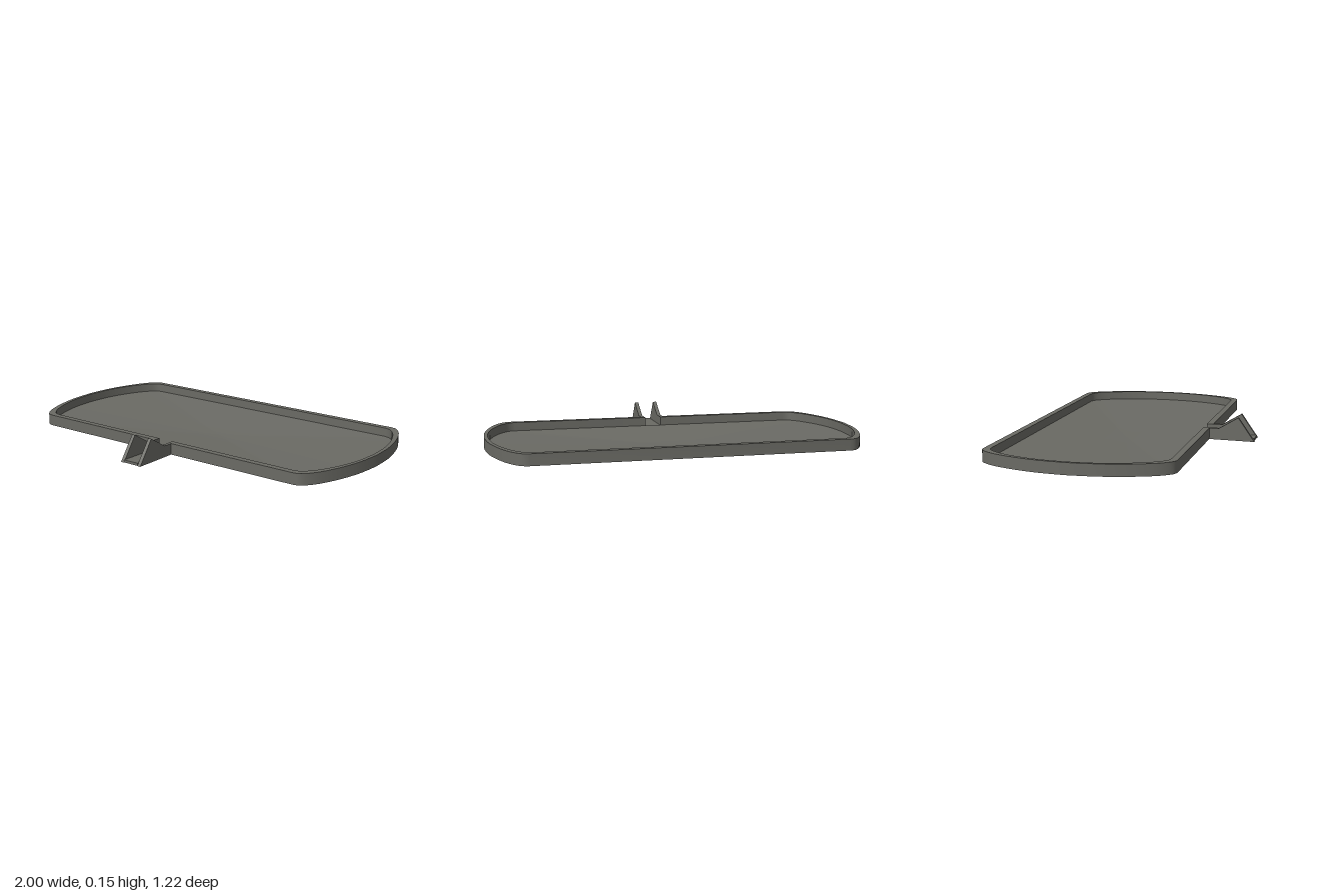
import * as THREE from 'three';
import { toCreasedNormals } from 'three/addons/utils/BufferGeometryUtils.js';

const CZ = -0.1225; // centre of the tray in z

// Closed outline (x, z) mirrored from one front-to-middle quarter, starting and ending at the front
function outline(quarter) {
  const q = new THREE.SplineCurve(quarter.map(p => new THREE.Vector2(...p))).getPoints(16);
  const right = q.concat(q.slice(0, -1).reverse().map(p => new THREE.Vector2(p.x, -p.y)));
  const left = right.map(p => new THREE.Vector2(-p.x, p.y)).reverse();
  return right.concat(left).map(p => new THREE.Vector2(p.x, p.y + CZ));
}

// Sheet made of shrinking copies of the outline; levels = [scale, y], outermost first
function dishSheet(points, levels, faceUp) {
  const n = points.length, pos = [], idx = [];
  for (const [s, y] of levels) {
    for (const p of points) pos.push(p.x * s, y, CZ + (p.y - CZ) * s);
  }
  const tri = (a, b, c) => (faceUp ? idx.push(a, b, c) : idx.push(a, c, b));
  for (let r = 0; r < levels.length - 1; r++) {
    for (let i = 0; i < n; i++) {
      const j = (i + 1) % n, a = r * n + i, b = r * n + j;
      tri(a, b, b + n);
      tri(a, b + n, a + n);
    }
  }
  const g = new THREE.BufferGeometry();
  g.setAttribute('position', new THREE.Float32BufferAttribute(pos, 3));
  g.setIndex(idx);
  g.computeVertexNormals();
  return g;
}

export function createModel() {
  const group = new THREE.Group();
  const grey = new THREE.MeshStandardMaterial({ color: 0x6a6a64 });
  grey.name = 'warm grey';
  const add = (name, geometry) => {
    const mesh = new THREE.Mesh(geometry, grey);
    mesh.name = name;
    group.add(mesh);
    return mesh;
  };

  const outer = outline([[0.82, 0.4875], [0.86, 0.473], [0.91, 0.405], [0.955, 0.29], [0.988, 0.15], [1, 0]]);
  const inner = outline([[0.8, 0.4525], [0.84, 0.438], [0.89, 0.375], [0.938, 0.265], [0.97, 0.135], [0.98, 0]]);

  // Upright rim, open at the front where the spout begins
  const gap = 0.045;
  const rimShape = new THREE.Shape([
    new THREE.Vector2(gap, 0.365), ...outer, new THREE.Vector2(-gap, 0.365),
    new THREE.Vector2(-gap, 0.33), ...inner.slice().reverse(), new THREE.Vector2(gap, 0.33),
  ]);
  const rim = new THREE.ExtrudeGeometry(rimShape, { depth: 0.06, bevelEnabled: false });
  rim.rotateX(Math.PI / 2).translate(0, 0.085, 0);
  add('rim', toCreasedNormals(rim, 0.5));

  // Thin floor, sagging to a nearly flat middle; its edge is buried in the rim
  const sag = [[1.005, 0.03], [0.22, 0.002], [0, 0]];
  add('floorUnderside', dishSheet(inner, sag, false));
  add('floorTop', dishSheet(inner, sag.map(([s, y]) => [s, y + 0.008]), true));

  // Spout: a flat channel between two peaked side walls
  const channel = new THREE.BoxGeometry(2 * gap + 0.002, 0.014, 0.275);
  channel.translate(0, 0.029, 0.4675);
  add('spoutFloor', channel);

  const wallShape = new THREE.Shape([
    [0.35, 0.0255], [0.608, 0.022], [0.52, 0.148], [0.415, 0.0848], [0.35, 0.0848],
  ].map(p => new THREE.Vector2(...p)));
  for (const side of [1, -1]) {
    const wall = new THREE.ExtrudeGeometry(wallShape, { depth: 0.02, bevelEnabled: false });
    // profile x becomes z, thickness runs along x
    wall.rotateY(-Math.PI / 2).translate(side * 0.055 + 0.01, 0, 0);
    add(side > 0 ? 'spoutWallLeft' : 'spoutWallRight', wall);
  }
  return group;
}
